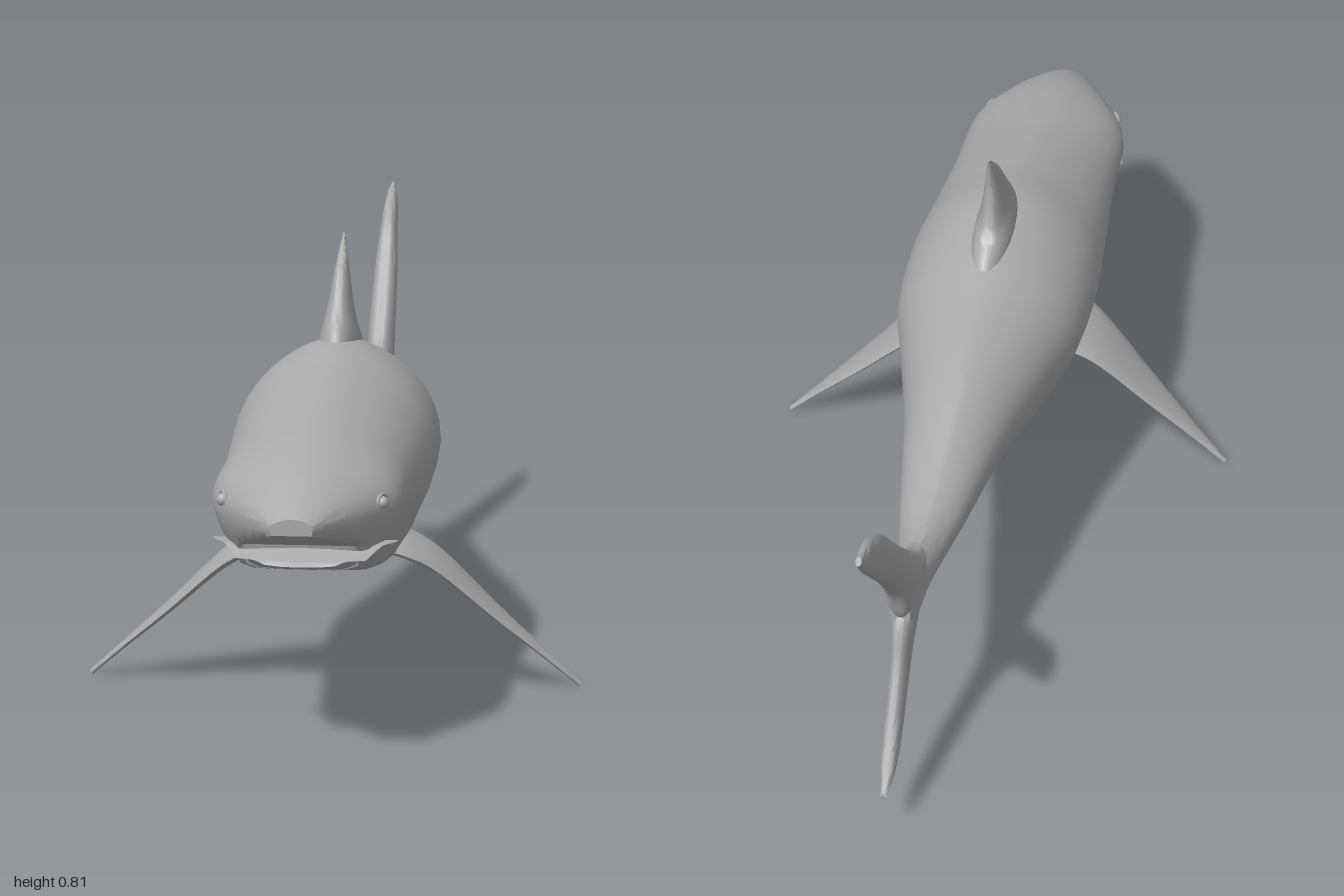
import * as THREE from 'three';
import { toCreasedNormals } from 'three/addons/utils/BufferGeometryUtils.js';

const skin = new THREE.MeshStandardMaterial({ color: 0xaaaaaa });
skin.name = 'grey skin';

// Skin a list of equal-length closed rings, cap both ends and face outward
function loft(name, rings, crease = 0.9) {
  const n = rings[0].length, pos = [], idx = [];
  rings.forEach(r => r.forEach(p => pos.push(p.x, p.y, p.z)));
  for (let i = 0; i + 1 < rings.length; i++) {
    for (let j = 0; j < n; j++) {
      const a = i * n + j, b = i * n + (j + 1) % n;
      idx.push(a, b, a + n, b, b + n, a + n);
    }
  }
  [0, rings.length - 1].forEach((r, end) => {
    const c = new THREE.Vector3();
    rings[r].forEach(p => c.addScaledVector(p, 1 / n));
    const k = pos.length / 3;
    pos.push(c.x, c.y, c.z);
    for (let j = 0; j < n; j++) {
      const a = r * n + j, b = r * n + (j + 1) % n;
      if (end) idx.push(k, a, b); else idx.push(k, b, a);
    }
  });
  // Reverse the corners if the enclosed volume is negative
  const at = i => new THREE.Vector3().fromArray(pos, i * 3);
  let volume = 0;
  for (let i = 0; i < idx.length; i += 3) volume += at(idx[i]).dot(at(idx[i + 1]).cross(at(idx[i + 2])));
  if (volume < 0) idx.reverse();
  const geo = new THREE.BufferGeometry();
  geo.setAttribute('position', new THREE.Float32BufferAttribute(pos, 3));
  geo.setIndex(idx);
  const mesh = new THREE.Mesh(toCreasedNormals(geo, crease), skin);
  mesh.name = name;
  return mesh;
}

// Body stations: z, top, bottom, half width, height of widest point, belly flatness
const stations = [
  [1.0, 0.46, 0.41, 0.035, 0.446, 0.3],
  [0.94, 0.492, 0.375, 0.075, 0.445, 0.6],
  [0.87, 0.52, 0.348, 0.118, 0.44, 0.9],
  [0.77, 0.545, 0.322, 0.16, 0.44, 1],
  [0.6, 0.572, 0.285, 0.166, 0.435, 1],
  [0.42, 0.605, 0.263, 0.179, 0.43, 1],
  [0.27, 0.632, 0.257, 0.188, 0.43, 1],
  [0.12, 0.612, 0.26, 0.18, 0.43, 0.9],
  [0, 0.58, 0.268, 0.15, 0.43, 0.7],
  [-0.2, 0.53, 0.3, 0.1, 0.42, 0.35],
  [-0.4, 0.465, 0.324, 0.065, 0.4, 0.1],
  [-0.5, 0.442, 0.334, 0.046, 0.39, 0],
  [-0.58, 0.443, 0.34, 0.033, 0.39, 0],
  [-0.65, 0.445, 0.34, 0.028, 0.39, 0],
  [-0.7, 0.41, 0.365, 0.018, 0.388, 0],
];
const spine = new THREE.CatmullRomCurve3(stations.map(s => new THREE.Vector3(s[0], s[1], s[2])), false, 'catmullrom');
const girth = new THREE.CatmullRomCurve3(stations.map(s => new THREE.Vector3(s[3], s[4], s[5])), false, 'catmullrom');

// Flat-bellied lower half section: width and depth fractions
const belly = [[1, 0], [0.97, 0.2], [0.91, 0.41], [0.83, 0.6], [0.76, 0.78], [0.7, 0.92], [0.56, 0.985], [0.3, 1], [0, 1]];

function section(t) {
  const { x: z, y: top, z: bottom } = spine.getPoint(t);
  const { x: w, y: mid, z: flat } = girth.getPoint(t);
  const half = [];
  for (let i = 0; i <= 10; i++) {
    const a = (1 - i / 10) * Math.PI / 2;
    half.push([w * Math.pow(Math.max(0, Math.cos(a)), 1.25), mid + (top - mid) * Math.sin(a)]);
  }
  for (let i = 1; i <= 8; i++) {
    const a = i / 8 * Math.PI / 2;
    const fx = THREE.MathUtils.lerp(Math.cos(a), belly[i][0], flat);
    const fy = THREE.MathUtils.lerp(Math.sin(a), belly[i][1], flat);
    half.push([w * fx, mid - (mid - bottom) * fy]);
  }
  const left = half.map(([x, y]) => new THREE.Vector3(x, y, z));
  const right = half.slice(1, -1).reverse().map(([x, y]) => new THREE.Vector3(-x, y, z));
  return left.concat(right);
}

const MOUTH_Z = 0.84, MOUTH_Y = 0.38;

function makeBody() {
  const rings = [], count = 112;
  for (let i = 0; i <= count; i++) {
    const ring = section(i / count);
    // Ahead of the mouth corner only the upper jaw remains
    ring.forEach(p => {
      if (p.z > MOUTH_Z) p.y = Math.max(p.y, MOUTH_Y + (p.z - MOUTH_Z) * 0.33);
    });
    rings.push(ring);
  }
  return loft('body', rings);
}

function makeLowerJaw() {
  const rings = [];
  for (let i = 0; i <= 10; i++) {
    const ring = section((1.78 + i * 0.11) / (stations.length - 1));
    // Cut below the lip line and round the chin in plan
    ring.forEach(p => {
      p.y = Math.min(p.y, MOUTH_Y - Math.max(0, p.z - MOUTH_Z) * 0.35);
      p.z -= 1.6 * p.x * p.x * THREE.MathUtils.smoothstep(p.z, 0.79, 0.88);
    });
    rings.push(ring);
  }
  return loft('lowerJaw', rings);
}

// Fin stations: leading point, trailing point, half thickness
function makeFin(name, list, normal) {
  const curve = k => new THREE.CatmullRomCurve3(list.map(s => new THREE.Vector3(...s[k])), false, 'catmullrom');
  const lead = curve(0), trail = curve(1), rings = [];
  const thick = new THREE.SplineCurve(list.map(s => new THREE.Vector2(s[2], 0)));
  const steps = (list.length - 1) * 6;
  for (let i = 0; i <= steps; i++) {
    const t = i / steps, a = lead.getPoint(t), b = trail.getPoint(t), h = thick.getPoint(t).x;
    const mid = a.clone().add(b).multiplyScalar(0.5), chord = a.sub(b).multiplyScalar(0.5);
    const ring = [];
    for (let j = 0; j < 20; j++) {
      const u = j / 20 * Math.PI * 2;
      ring.push(mid.clone().addScaledVector(chord, Math.cos(u)).addScaledVector(normal, h * Math.sin(u)));
    }
    rings.push(ring);
  }
  return loft(name, rings, 1.1);
}

export function createModel() {
  const model = new THREE.Group();
  model.name = 'shark';
  const sideways = new THREE.Vector3(1, 0, 0);
  model.add(makeBody(), makeLowerJaw());

  model.add(makeFin('dorsalFin', [
    [[0, 0.57, 0.31], [0, 0.56, 0.03], 0.042],
    [[0, 0.632, 0.298], [0, 0.605, 0.062], 0.038],
    [[0, 0.685, 0.25], [0, 0.65, 0.107], 0.026],
    [[0, 0.745, 0.195], [0, 0.724, 0.124], 0.015],
    [[0, 0.785, 0.147], [0, 0.775, 0.12], 0.007],
    [[0, 0.808, 0.117], [0, 0.806, 0.113], 0.002],
  ], sideways));

  model.add(makeFin('upperTailLobe', [
    [[0, 0.43, -0.53], [0, 0.35, -0.64], 0.028],
    [[0, 0.465, -0.61], [0, 0.39, -0.707], 0.029],
    [[0, 0.563, -0.716], [0, 0.466, -0.743], 0.027],
    [[0, 0.635, -0.787], [0, 0.563, -0.823], 0.024],
    [[0, 0.7, -0.85], [0, 0.638, -0.895], 0.019],
    [[0, 0.752, -0.93], [0, 0.708, -0.962], 0.013],
    [[0, 0.767, -0.99], [0, 0.753, -0.998], 0.005],
  ], sideways));

  model.add(makeFin('lowerTailLobe', [
    [[0, 0.345, -0.55], [0, 0.43, -0.66], 0.024],
    [[0, 0.332, -0.61], [0, 0.37, -0.71], 0.022],
    [[0, 0.268, -0.66], [0, 0.3, -0.737], 0.017],
    [[0, 0.166, -0.743], [0, 0.21, -0.79], 0.016],
    [[0, 0.123, -0.796], [0, 0.145, -0.83], 0.014],
    [[0, 0.095, -0.858], [0, 0.1, -0.86], 0.006],
  ], sideways));

  // Paired fins and eyes
  for (const s of [1, -1]) {
    const label = s > 0 ? 'left' : 'right';
    model.add(makeFin(label + 'PectoralFin', [
      [[s * 0.1, 0.285, 0.46], [s * 0.1, 0.285, 0.255], 0.02],
      [[s * 0.145, 0.27, 0.448], [s * 0.145, 0.27, 0.262], 0.016],
      [[s * 0.2, 0.235, 0.42], [s * 0.2, 0.235, 0.27], 0.013],
      [[s * 0.3, 0.142, 0.378], [s * 0.3, 0.142, 0.285], 0.009],
      [[s * 0.39, 0.062, 0.34], [s * 0.39, 0.062, 0.297], 0.006],
      [[s * 0.453, 0.005, 0.315], [s * 0.453, 0.005, 0.303], 0.005],
    ], new THREE.Vector3(s * 0.64, 0.77, 0)));

    const eye = new THREE.Group();
    eye.name = label + 'Eye';
    const ball = new THREE.Mesh(new THREE.SphereGeometry(0.011, 16, 12), skin);
    ball.name = 'eyeball';
    const rim = new THREE.Mesh(new THREE.TorusGeometry(0.014, 0.003, 8, 20), skin);
    rim.name = 'eyelid';
    eye.add(ball, rim);
    eye.position.set(s * 0.133, 0.455, 0.835);
    eye.rotation.y = s * 1.1;
    model.add(eye);
  }
  return model;
}
